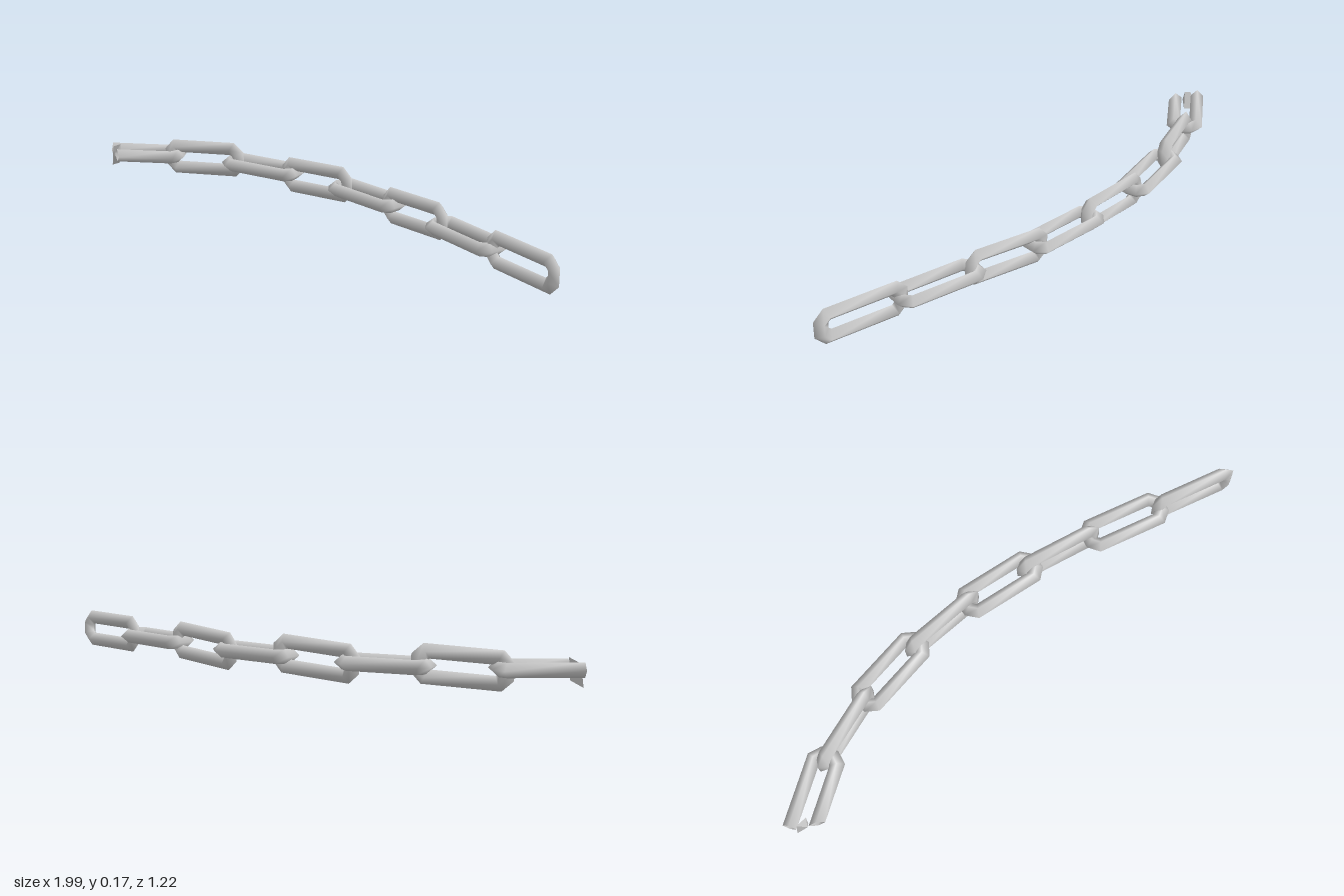
import * as THREE from 'three';
import { ConvexGeometry } from 'three/addons/geometries/ConvexGeometry.js';

const HALF = 0.028; // half thickness of a bar, across the link's plane

// Diamond-section bar swept through nodes of [outerX, outerZ, innerX, innerZ]
function barGeometry(nodes, closed) {
  const pos = [], index = [], n = nodes.length;
  for (const [ox, oz, ix, iz] of nodes) {
    const mx = (ox + ix) / 2, mz = (oz + iz) / 2;
    pos.push(ox, 0, oz, mx, HALF, mz, ix, 0, iz, mx, -HALF, mz);
  }
  for (let i = 0; i < (closed ? n : n - 1); i++) {
    for (let j = 0; j < 4; j++) {
      const k = (j + 1) % 4, next = (i + 1) % n;
      const a = i * 4 + j, b = i * 4 + k, c = next * 4 + j, d = next * 4 + k;
      index.push(a, b, c, b, d, c);
    }
  }
  const g = new THREE.BufferGeometry();
  g.setAttribute('position', new THREE.Float32BufferAttribute(pos, 3));
  g.setIndex(index);
  g.computeVertexNormals();
  return g;
}

export function createModel() {
  const group = new THREE.Group();
  const material = new THREE.MeshStandardMaterial({ color: 0xcccccc, side: THREE.DoubleSide });

  // Chamfered ends of a link; the quarter is mirrored round the loop
  const side = [0.148, 0.076, 0.122, 0.02];
  const end = [0.19, 0.034, 0.132, 0.011];
  const flip = ([a, b, c, d], sx, sz) => [a * sx, b * sz, c * sx, d * sz];
  const rightEnd = [flip(side, 1, -1), flip(end, 1, -1), end, side];
  const leftEnd = rightEnd.map((p) => flip(p, -1, -1));
  const linkGeo = barGeometry([...rightEnd, ...leftEnd], true);

  // First link is snapped open at its left end
  const brokenGeo = barGeometry(
    [[-0.148, -0.076, -0.148, -0.02], ...rightEnd, [-0.09, 0.076, -0.122, 0.02]], false);

  // x, z, heading in degrees; flat and upright links alternate
  const links = [
    [-0.85, -0.537, -3], [-0.565, -0.517, 12], [-0.287, -0.437, 21], [-0.03, -0.313, 30],
    [0.205, -0.153, 37], [0.42, 0.025, 43], [0.635, 0.24, 45], [0.856, 0.464, 45],
  ];
  links.forEach(([x, z, heading], i) => {
    const upright = i % 2 === 1;
    const link = new THREE.Mesh(i === 0 ? brokenGeo : linkGeo, material);
    link.name = i === 0 ? 'brokenLink' : upright ? 'uprightLink' : 'flatLink';
    link.position.set(x, 0.081, z);
    const tilt = upright && i < 7 ? 3.5 : 0;
    link.rotation.set(upright ? Math.PI / 2 : 0, -heading * Math.PI / 180, tilt * Math.PI / 180, 'YZX');
    group.add(link);
  });

  // Splinter left at the snapped end
  const shard = new THREE.Mesh(new ConvexGeometry([
    [-1, 0.012, -0.555], [-0.955, 0.035, -0.525], [-0.95, 0.12, -0.525],
    [-0.99, 0.1, -0.55], [-0.975, 0.07, -0.515],
  ].map((p) => new THREE.Vector3(...p))), material);
  shard.name = 'shard';
  group.add(shard);

  return group;
}
